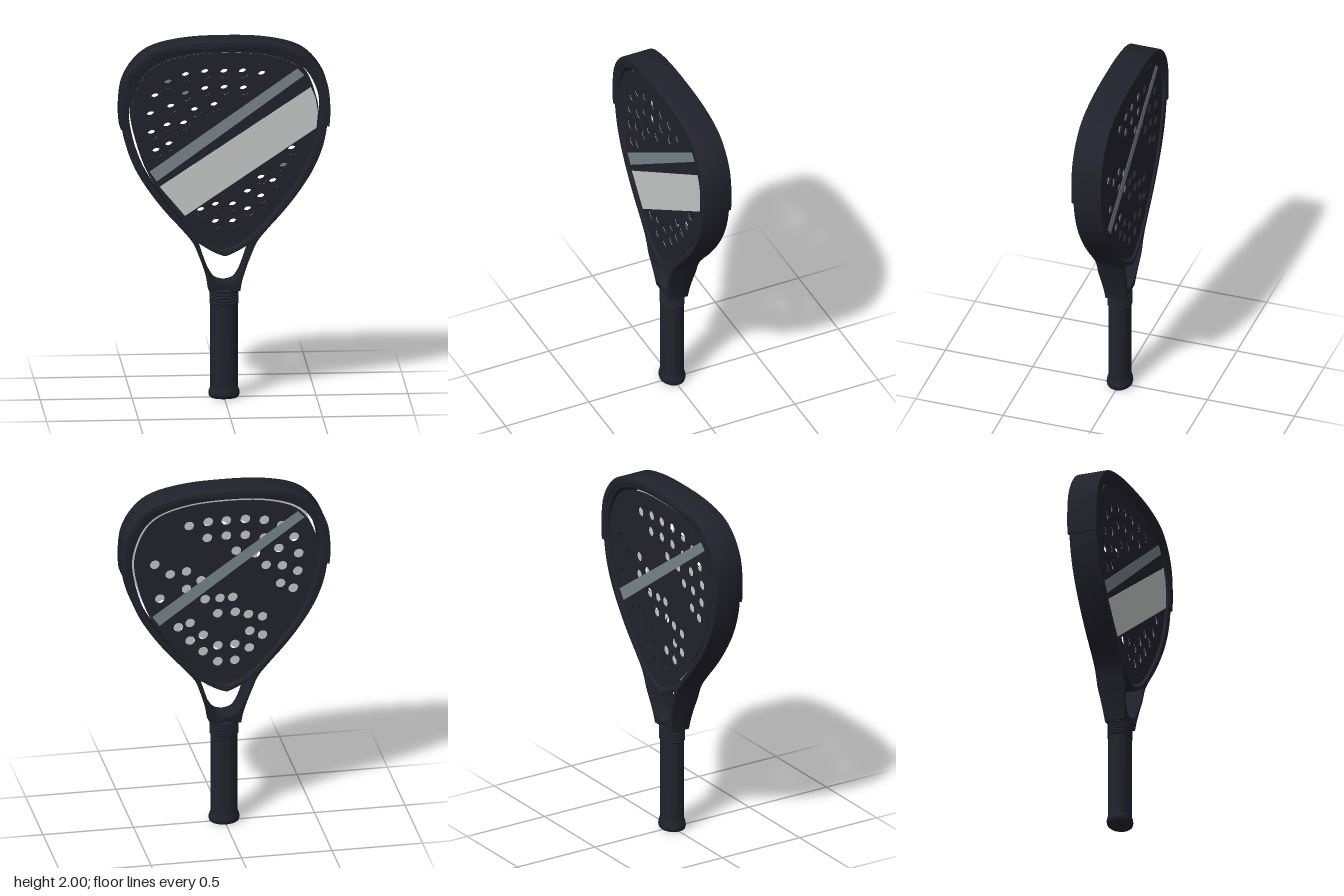
import * as THREE from 'three';
import { toCreasedNormals } from 'three/addons/utils/BufferGeometryUtils.js';

const mat = (name, color, side = THREE.FrontSide) => {
  const m = new THREE.MeshStandardMaterial({ color, side });
  m.name = name;
  return m;
};
const V = (x, y) => new THREE.Vector2(x, y);

// Smooth open curve through a right-hand half outline and its mirror image
function mirroredCurve(half, samples = 120) {
  const left = half.slice(0, -1).reverse().map(([x, y]) => [-x, y]);
  const pts = [...half, ...left].map(([x, y]) => V(x, y));
  return new THREE.SplineCurve(pts).getPoints(samples);
}

const outerHalf = [[0.085, 0.6], [0.095, 0.66], [0.115, 0.73], [0.14, 0.8], [0.175, 0.88], [0.235, 0.955],
  [0.32, 1.05], [0.405, 1.16], [0.48, 1.28], [0.53, 1.4], [0.555, 1.52], [0.56, 1.64], [0.54, 1.77],
  [0.47, 1.88], [0.37, 1.945], [0.2, 1.98], [0, 1.988]];
const gapHalf = [[0, 0.838], [0.055, 0.857], [0.12, 0.895], [0.2, 0.965], [0.27, 1.045], [0.35, 1.15],
  [0.43, 1.28], [0.485, 1.43], [0.515, 1.58], [0.503, 1.69], [0.45, 1.81], [0.36, 1.885], [0.2, 1.93], [0, 1.942]];
const throatHalf = [[0, 0.645], [0.05, 0.66], [0.085, 0.71], [0.115, 0.79], [0.143, 0.877]];

const upperHoles = [[-0.305, 1.765], [-0.21, 1.805], [-0.105, 1.82], [0, 1.82], [0.1, 1.82], [0.205, 1.805],
  [-0.375, 1.69], [-0.21, 1.7], [-0.105, 1.725], [0, 1.73], [0.105, 1.725], [-0.4, 1.59], [-0.29, 1.63],
  [-0.16, 1.61], [-0.055, 1.635], [-0.395, 1.485], [-0.31, 1.525], [-0.22, 1.535], [-0.37, 1.385], [-0.3, 1.42]];
const bandHoles = [[0.395, 1.59], [0.31, 1.525], [0.22, 1.535], [0.14, 1.475], [0.22, 1.43], [-0.035, 1.36],
  [0.035, 1.36], [0.117, 1.36], [-0.05, 1.27], [0.047, 1.27], [-0.122, 1.25], [-0.2, 1.23], [-0.13, 1.15], [-0.2, 1.12]];
const lowerHoles = [[0.367, 1.385], [0.323, 1.29], [0.265, 1.205], [0.2, 1.225], [0.2, 1.12], [0.128, 1.148],
  [0.128, 1.05], [0.047, 1.078], [0.047, 0.983], [-0.047, 0.983], [-0.047, 1.078], [-0.127, 1.05]];

function drilled(points, holes) {
  const shape = new THREE.Shape(points);
  for (const [x, y] of holes) {
    const h = new THREE.Path();
    h.absarc(x, y, 0.027, 0, Math.PI * 2, true);
    shape.holes.push(h);
  }
  return shape;
}

// Flat plate between z0 and z0 + depth
function plate(shape, z0, depth) {
  const g = new THREE.ExtrudeGeometry(shape, { depth, bevelEnabled: false, curveSegments: 20 });
  g.translate(0, 0, z0);
  return toCreasedNormals(g, 0.6);
}

// Plate with small bevels, centred on z = 0
function bevelled(shape, halfDepth, b) {
  const g = new THREE.ExtrudeGeometry(shape, {
    depth: 2 * (halfDepth - b), bevelThickness: b, bevelSize: b, bevelOffset: -b, bevelSegments: 2,
  });
  g.translate(0, 0, b - halfDepth);
  return g;
}

export function createModel() {
  const root = new THREE.Group();
  root.name = 'racket';
  const dark = mat('darkNavy', 0x22222d);
  const pale = mat('paleGrey', 0xc4c8c7);
  const slate = mat('slateGrey', 0x78858b);
  const add = (name, geo, material, parent = root) => {
    const m = new THREE.Mesh(geo, material);
    m.name = name;
    parent.add(m);
    return m;
  };

  // Frame with face opening and throat opening, thinning towards the handle
  const outer = mirroredCurve(outerHalf, 160);
  const gap = mirroredCurve(gapHalf, 140);
  const scaled = (k) => gap.slice(0, -1).map((p) => V(p.x * k, 1.39 + (p.y - 1.39) * k));
  const frameShape = new THREE.Shape(outer);
  frameShape.holes.push(new THREE.Path(scaled(1.013)));
  const side = new THREE.SplineCurve(throatHalf.map(([x, y]) => V(x, y))).getPoints(20);
  const bridge = new THREE.QuadraticBezierCurve(V(0.143, 0.877), V(0.055, 0.815), V(0, 0.802)).getPoints(8).slice(1);
  const rightThroat = [...side, ...bridge];
  const leftThroat = rightThroat.slice(1, -1).reverse().map((p) => V(-p.x, p.y));
  frameShape.holes.push(new THREE.Path([...rightThroat, ...leftThroat]));
  const frameGeo = bevelled(frameShape, 0.08, 0.005);
  const pos = frameGeo.attributes.position;
  for (let i = 0; i < pos.count; i++) {
    const t = THREE.MathUtils.clamp((pos.getY(i) - 0.6) / 0.19, 0, 1);
    pos.setZ(i, pos.getZ(i) * (0.7 + 0.3 * t));
  }
  add('frame', toCreasedNormals(frameGeo, 0.6), dark);

  // Bumper guard around the top of the frame
  const outside = [], inside = [];
  outer.forEach((p, i) => {
    if (p.y < 1.505) return;
    const d = outer[i + 1].clone().sub(outer[i - 1]).normalize();
    outside.push(V(p.x + d.y * 0.012, p.y - d.x * 0.012));
    inside.push(V(p.x - d.y * 0.03, p.y + d.x * 0.03));
  });
  const guard = bevelled(new THREE.Shape([...outside, ...inside.reverse()]), 0.086, 0.004);
  add('bumperGuard', toCreasedNormals(guard, 0.6), dark);

  // Two thin drilled face sheets with a hollow between them, and a pale lining behind the front one
  const face = drilled(scaled(0.987), [...upperHoles, ...bandHoles, ...lowerHoles]);
  add('frontFace', plate(face, 0.062, 0.008), dark);
  add('frontLining', plate(face, 0.06, 0.002), pale);
  add('backFace', plate(face, -0.07, 0.008), dark);

  // Diagonal band on the front, drilled with the same holes
  const band = [[-0.217, 1.03], [0.498, 1.51], [0.506, 1.6], [0.492, 1.68], [0.468, 1.738], [-0.355, 1.195]];
  add('frontBand', plate(drilled(band.map(([x, y]) => V(x, y)), bandHoles), 0.07, 0.002), pale);

  // Diagonal stripes, running the other way on the back
  const stripe = [[-0.37, 1.225], [0.432, 1.805], [0.395, 1.843], [-0.41, 1.28]];
  const frontStripe = new THREE.Shape(stripe.map(([x, y]) => V(x, y)));
  const backStripe = new THREE.Shape(stripe.map(([x, y]) => V(-x, y)));
  add('frontStripe', plate(frontStripe, 0.07, 0.002), slate);
  add('backStripe', plate(backStripe, -0.072, 0.002), slate);

  // Oval handle: butt cap, grip and ringed collar
  const handle = new THREE.Group();
  handle.name = 'handle';
  handle.scale.z = 0.83;
  root.add(handle);
  const lathe = (name, pts) => add(name,
    toCreasedNormals(new THREE.LatheGeometry(pts.map(([x, y]) => V(x, y)), 48), 0.7), dark, handle);
  lathe('buttCap', [[0, 0], [0.072, 0], [0.081, 0.007], [0.085, 0.022], [0.083, 0.038], [0.076, 0.058], [0, 0.058]]);
  lathe('grip', [[0, 0.05], [0.075, 0.05], [0.075, 0.525], [0, 0.525]]);
  const collar = [[0, 0.522], [0.074, 0.522]];
  for (let i = 0; i < 5; i++) {
    const y = 0.524 + i * 0.016;
    collar.push([0.076, y], [0.08, y + 0.004], [0.08, y + 0.011], [0.076, y + 0.015]);
  }
  collar.push([0.07, 0.612], [0, 0.612]);
  lathe('collar', collar);

  return root;
}
